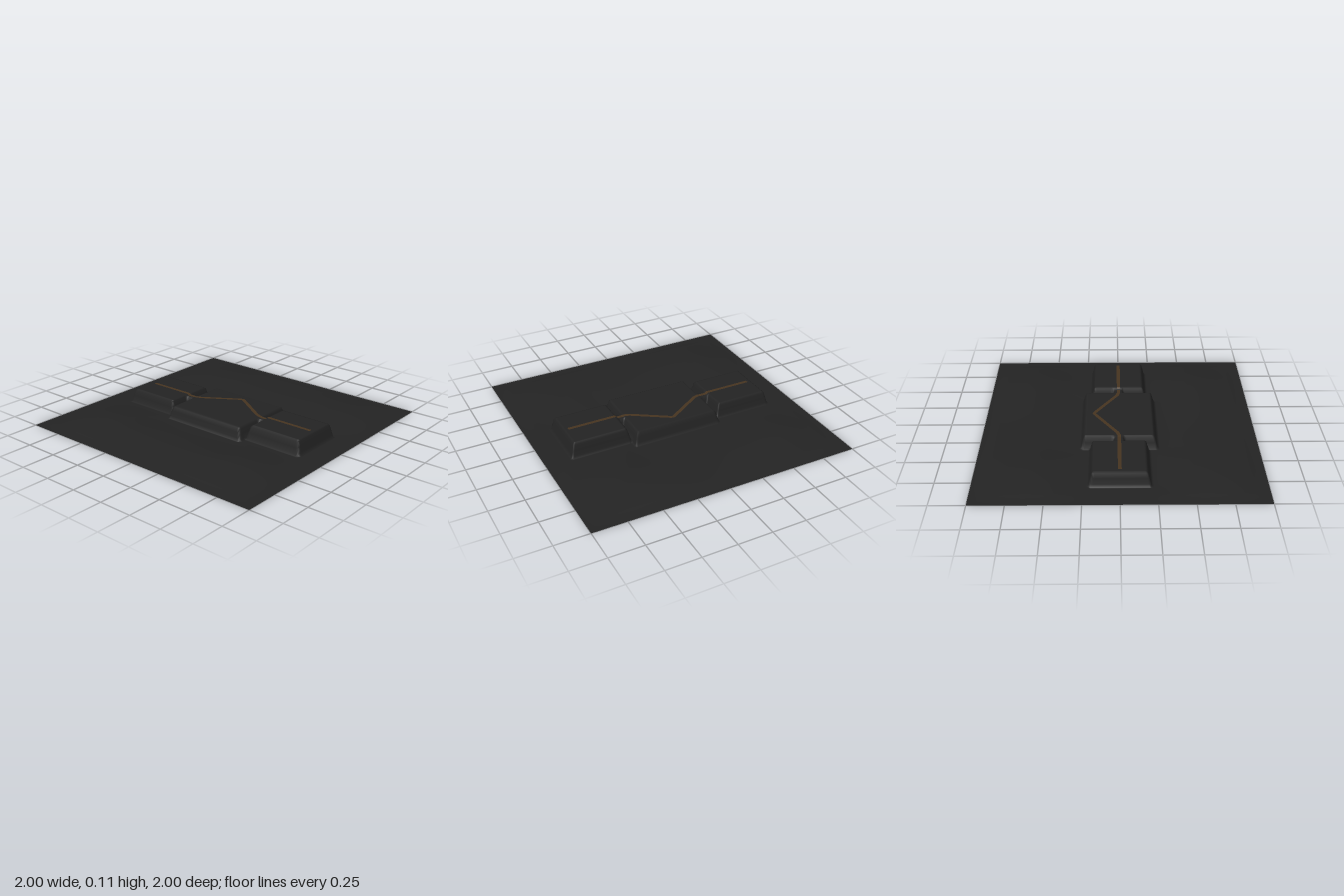
import * as THREE from 'three';

// Raised blocks: centre x, half width, half depth, height
const BLOCKS = [
  { x: -0.58, w: 0.212, d: 0.2, h: 0.102 },
  { x: 0, w: 0.33, d: 0.263, h: 0.095 },
  { x: 0.575, w: 0.217, d: 0.2, h: 0.107 },
  { x: -0.35, w: 0.05, d: 0.045, h: 0.092 },
  { x: 0.35, w: 0.05, d: 0.045, h: 0.092 },
];
const smooth = THREE.MathUtils.smoothstep;

// Signed distance from a block's rectangle in plan
function distance(b, x, z) {
  const dx = Math.abs(x - b.x) - b.w, dz = Math.abs(z) - b.d;
  return Math.hypot(Math.max(dx, 0), Math.max(dz, 0)) + Math.min(Math.max(dx, dz), 0);
}

// Height of the sheet: low rolling ground with steep flat-topped blocks
function height(x, z) {
  let near = 9, bump = 0;
  for (const b of BLOCKS) {
    const d = distance(b, x, z);
    near = Math.min(near, d);
    bump = Math.max(bump, b.h * (1 - smooth(d, -0.018, 0.018)));
  }
  const edge = smooth(1 - Math.abs(x), -0.1, 0.4) * smooth(1 - Math.abs(z), -0.1, 0.4);
  const rim = Math.min(1, (1 - Math.max(Math.abs(x), Math.abs(z))) / 0.1);
  const roll = 0.03 + 0.007 * Math.sin(x * 5 - 1.4) + 0.003 * Math.sin(z * 4);
  const ground = roll * edge * Math.max(rim, 0) * smooth(near, 0, 0.4);
  return Math.max(ground, bump);
}

// Flat strip that follows a plan path and is draped on the sheet
function drapedStrip(points, width, lift) {
  const pos = [], index = [];
  const path = new THREE.CurvePath();
  for (let i = 1; i < points.length; i++) path.add(new THREE.LineCurve(points[i - 1], points[i]));
  const n = 240;
  for (let i = 0; i <= n; i++) {
    const p = path.getPointAt(i / n);
    const a = path.getPointAt(Math.max(0, i / n - 0.008));
    const b = path.getPointAt(Math.min(1, i / n + 0.008));
    const t = b.sub(a).normalize();
    for (const s of [-1, 1]) {
      const x = p.x - t.y * s * width / 2, z = p.y + t.x * s * width / 2;
      pos.push(x, height(x, z) + lift, z);
    }
    if (i < n) {
      const k = i * 2;
      index.push(k, k + 1, k + 2, k + 1, k + 3, k + 2);
    }
  }
  const g = new THREE.BufferGeometry();
  g.setAttribute('position', new THREE.Float32BufferAttribute(pos, 3));
  g.setIndex(index);
  g.computeVertexNormals();
  return g;
}

export function createModel() {
  const group = new THREE.Group();
  const sheetMaterial = new THREE.MeshStandardMaterial({ name: 'charcoal', color: 0x232323, side: THREE.DoubleSide });
  const lineMaterial = new THREE.MeshStandardMaterial({ name: 'dull amber', color: 0x463420, side: THREE.DoubleSide });

  // Ground sheet with its raised blocks
  const ground = new THREE.PlaneGeometry(2, 2, 200, 200).rotateX(-Math.PI / 2);
  const p = ground.attributes.position;
  for (let i = 0; i < p.count; i++) p.setY(i, height(p.getX(i), p.getZ(i)));
  ground.computeVertexNormals();
  const sheet = new THREE.Mesh(ground, sheetMaterial);
  sheet.name = 'groundSheet';
  group.add(sheet);

  // Peaked line across the blocks, on the upper and lower face of the sheet
  const line = [[-0.745, 0], [-0.31, 0], [-0.27, -0.012], [-0.015, -0.176], [0, -0.182],
    [0.015, -0.176], [0.27, -0.012], [0.31, 0], [0.745, 0]].map(([x, z]) => new THREE.Vector2(x, z));
  for (const [name, lift] of [['upperLine', 0.0015], ['lowerLine', -0.0015]]) {
    const strip = new THREE.Mesh(drapedStrip(line, 0.026, lift), lineMaterial);
    strip.name = name;
    group.add(strip);
  }
  return group;
}
